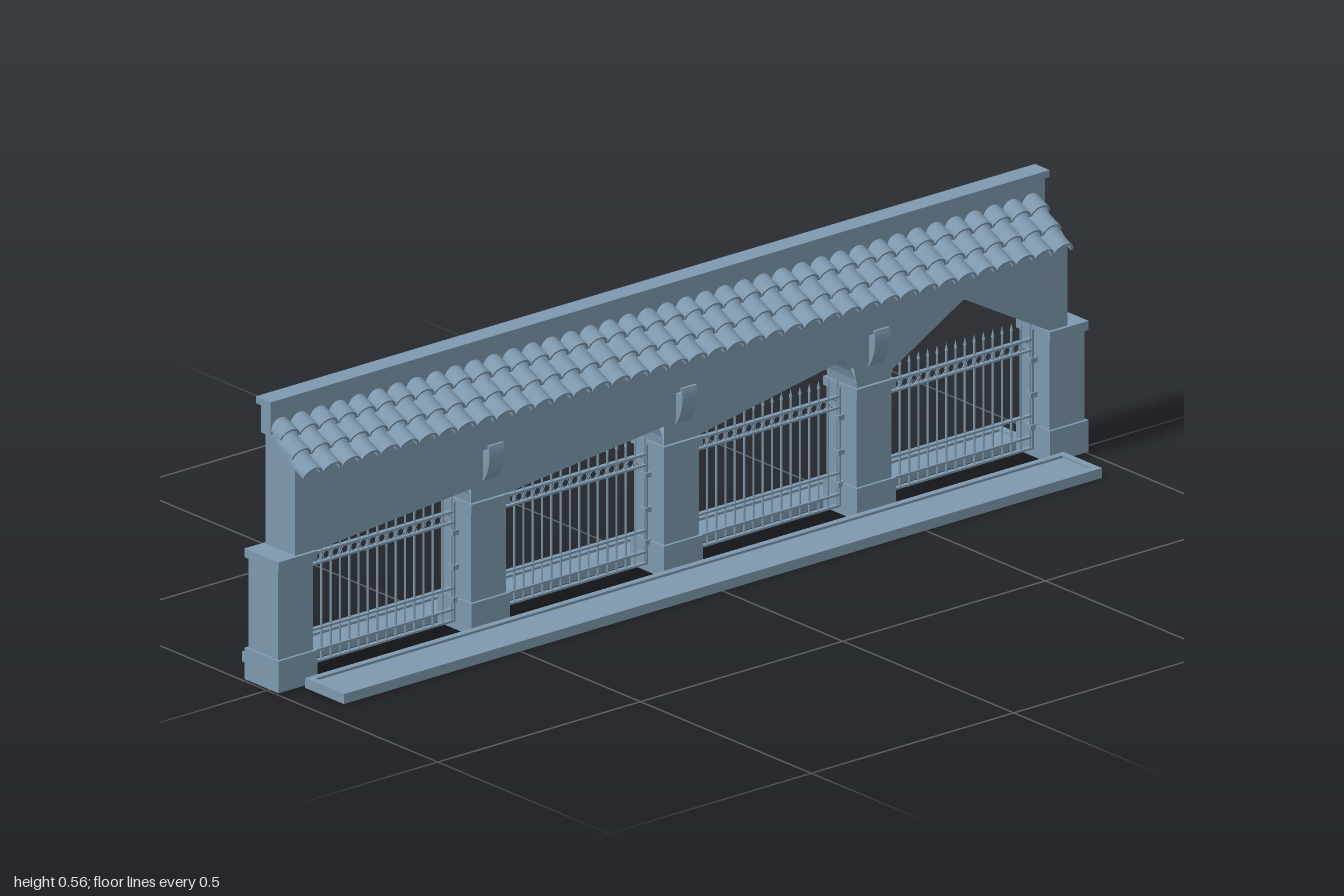
import * as THREE from 'three';

const mat = new THREE.MeshStandardMaterial({ color: 0x7e99af, flatShading: true, side: THREE.DoubleSide });
const FRONT = 0.027, BACK = -0.06, MID = (FRONT + BACK) / 2;
const SPACING = 0.476, HALF = 0.043, SPRING = 0.268;
const pillarX = [-2, -1, 0, 1, 2].map(i => i * SPACING);

function add(parent, name, geo, x = 0, y = 0, z = 0) {
  const m = new THREE.Mesh(geo, mat);
  m.name = name;
  m.position.set(x, y, z);
  parent.add(m);
  return m;
}

// Box given by its extents
function block(parent, name, x0, x1, y0, y1, z0, z1) {
  return add(parent, name, new THREE.BoxGeometry(x1 - x0, y1 - y0, z1 - z0),
    (x0 + x1) / 2, (y0 + y1) / 2, (z0 + z1) / 2);
}

function polygon(points) {
  return new THREE.Shape(points.map(p => new THREE.Vector2(p[0], p[1])));
}

// Rectangular frame lying flat, open above and below
function frame(parent, name, x0, x1, y0, y1, z0, z1, rim) {
  const rect = (a, b, c, d) => polygon([[a, c], [b, c], [b, d], [a, d]]);
  const shape = rect(x0, x1, -z1, -z0);
  shape.holes.push(rect(x0 + rim, x1 - rim, -z1 + rim, -z0 - rim));
  const geo = new THREE.ExtrudeGeometry(shape, { depth: y1 - y0, bevelEnabled: false });
  add(parent, name, geo.rotateX(-Math.PI / 2), 0, y0, 0);
}

// Extrude a (z, y) profile along x from x0 to x1
function sweepX(parent, name, points, x0, x1) {
  const shape = polygon(points.map(([z, y]) => [-z, y]));
  const geo = new THREE.ExtrudeGeometry(shape, { depth: x1 - x0, bevelEnabled: false });
  add(parent, name, geo.rotateY(Math.PI / 2), x0, 0, 0);
}

function group(parent, name) {
  const g = new THREE.Group();
  g.name = name;
  parent.add(g);
  return g;
}

// Pillar with a hollow plinth and a wider cap
function buildPillar(parent, x) {
  const g = group(parent, 'pillar');
  frame(g, 'plinth', x - 0.048, x + 0.048, 0.004, 0.068, -0.065, 0.034, 0.006);
  block(g, 'shaft', x - HALF, x + HALF, 0.067, 0.25, BACK, FRONT);
  block(g, 'cap', x - 0.048, x + 0.048, 0.25, SPRING, -0.065, 0.034);
}

// Upper wall: two facings with slanted openings, curved soffits between them
function buildWall(parent) {
  const g = group(parent, 'wall');
  const end = 0.953;
  const bays = [
    (l, r) => [[l, 0.266], [r, 0.297]],
    (l, r) => [[l, 0.267], [r, 0.307]],
    (l, r) => [[l, 0.269], [r - 0.025, 0.334], [r - 0.008, 0.312], [r, 0.278]],
    (l, r) => [[l, 0.284], [0.698, 0.383], [r, 0.268]],
  ];
  const outline = [[-end, SPRING]];
  bays.forEach((bay, i) => {
    const l = pillarX[i] + HALF, r = pillarX[i + 1] - HALF;
    outline.push([l, SPRING - 0.004], ...bay(l, r), [r, SPRING - 0.004]);
    const soffit = new THREE.CylinderGeometry(1, 1, FRONT - BACK - 0.002, 20, 1, true, Math.PI / 2, Math.PI);
    soffit.rotateX(Math.PI / 2).scale((r - l) / 2, 0.115, 1);
    add(g, 'archSoffit', soffit, (l + r) / 2, SPRING, MID);
  });
  outline.push([end, SPRING], [end, 0.41], [-end, 0.41]);
  const facing = new THREE.ShapeGeometry(polygon(outline));
  add(g, 'frontFacing', facing, 0, 0, FRONT);
  add(g, 'backFacing', facing, 0, 0, BACK);

  // Solid ends above the outer pillars
  for (const s of [-1, 1]) {
    block(g, 'wallEnd', s * 0.931 - 0.022, s * 0.931 + 0.022, SPRING, 0.41, BACK, FRONT);
  }
  // Sloped top of the wall
  sweepX(g, 'slopedTop', [[FRONT, 0.4], [BACK, 0.4], [BACK, 0.49], [-0.04, 0.49], [FRONT, 0.44]], -end, end);
  // Ridge and its coping
  block(g, 'ridge', -0.951, 0.96, 0.487, 0.545, -0.076, -0.047);
  block(g, 'coping', -0.957, 0.966, 0.545, 0.559, -0.083, -0.04);
}

// Three overlapping rows of barrel tiles
function buildRoof(parent) {
  const g = group(parent, 'tiles');
  const count = 40, pitch = 1.9 / count, r = pitch / 2;
  const arc = new THREE.Shape();
  arc.absarc(0, 0, r, 0, Math.PI, false);
  arc.absarc(0, 0, r - 0.005, Math.PI, 0, true);
  const tile = new THREE.ExtrudeGeometry(arc, { depth: 0.052, bevelEnabled: false, curveSegments: 8 });
  tile.translate(0, 0, -0.052).scale(1, 0.88, 1).rotateX(0.41);
  for (let row = 0; row < 3; row++) {
    for (let i = 0; i < count; i++) {
      add(g, 'tile', tile, -0.95 + pitch * (i + 0.5), 0.428 + row * 0.0288, 0.047 - row * 0.0342);
    }
  }
}

// Wall lamp: a tapering body with a curved shield in front
function buildLamp(parent, x) {
  const g = group(parent, 'lamp');
  sweepX(g, 'lampBody', [[FRONT, 0.367], [0.05, 0.367], [0.048, 0.345], [0.035, 0.315], [FRONT, 0.315]],
    x - 0.013, x + 0.013);
  const curve = new THREE.QuadraticBezierCurve(
    new THREE.Vector2(0.05, 0.383), new THREE.Vector2(0.059, 0.345), new THREE.Vector2(0.034, 0.309));
  const outer = curve.getPoints(8).map(p => [p.x, p.y]);
  const inner = outer.map(([z, y]) => [z - 0.004, y + 0.001]).reverse();
  sweepX(g, 'lampShield', [...outer, ...inner], x - 0.0185, x + 0.0185);
}

// Iron fence filling one bay
function buildFence(parent, l, r) {
  const g = group(parent, 'fence');
  const n = 17, step = (r - l) / n;
  const bar = new THREE.CylinderGeometry(0.0022, 0.0022, 0.25, 6);
  const spike = new THREE.ConeGeometry(0.0035, 0.016, 6);
  const ring = new THREE.TorusGeometry(0.008, 0.0012, 4, 10);
  for (let i = 0; i < n; i++) {
    const x = l + step * (i + 0.5);
    add(g, 'bar', bar, x, 0.147, MID);
    add(g, 'spike', spike, x, 0.277, MID);
    if (i < n - 1) add(g, 'ring', ring, x + step / 2, 0.231, MID);
  }
  for (const y of [0.022, 0.045, 0.088, 0.22, 0.242]) {
    block(g, 'rail', l + 0.006, r - 0.006, y - 0.002, y + 0.002, MID - 0.005, MID + 0.005);
  }
  // End posts held to the pillars by brackets
  for (const [x, s] of [[l, 1], [r, -1]]) {
    const post = x + s * 0.008, mount = x + s * 0.007;
    block(g, 'endPost', post - 0.002, post + 0.002, 0.02, 0.262, MID - 0.005, MID + 0.005);
    for (const y of [0.065, 0.13, 0.2]) {
      block(g, 'bracket', mount - 0.008, mount + 0.008, y - 0.005, y + 0.005, MID - 0.008, MID + 0.008);
    }
  }
}

// Ground bed: a raised rim around a sunken panel
function buildBed(parent, name, z0, z1) {
  const g = group(parent, name);
  const x = 0.936, rim = 0.014;
  frame(g, 'rim', -x, x, 0, 0.02, z0, z1, rim);
  block(g, 'panel', -x + rim, x - rim, 0.012, 0.015, z0 + rim, z1 - rim);
}

export function createModel() {
  const model = new THREE.Group();
  model.name = 'tiledWallWithFence';
  pillarX.forEach(x => buildPillar(model, x));
  for (let i = 0; i < 4; i++) buildFence(model, pillarX[i] + HALF, pillarX[i + 1] - HALF);
  buildWall(model);
  buildRoof(model);
  pillarX.slice(1, 4).forEach(x => buildLamp(model, x));
  buildBed(model, 'frontBed', 0.036, 0.149);
  buildBed(model, 'backBed', -0.149, -0.072);
  return model;
}
